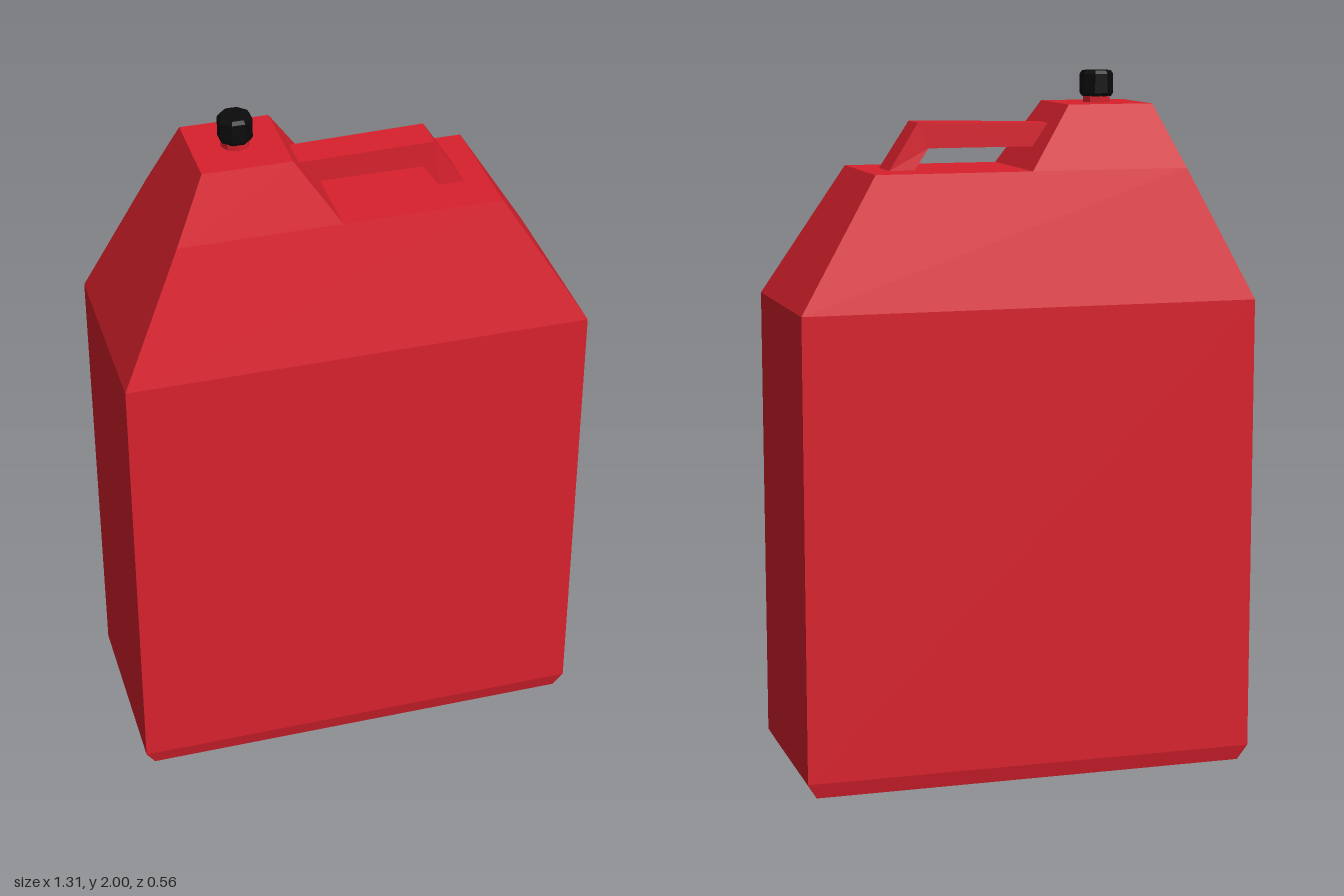
import * as THREE from 'three';

const red = new THREE.MeshStandardMaterial({ color: 0xd8212d });
red.name = 'red plastic';
const black = new THREE.MeshStandardMaterial({ color: 0x0b0b0b });
black.name = 'black plastic';

// Flat-faced skin through four-cornered rings, closed at both ends
function loft(rings) {
  const pos = [];
  const quad = (a, b, c, d) => pos.push(...a, ...b, ...c, ...a, ...c, ...d);
  for (let i = 0; i < rings.length - 1; i++) {
    const lo = rings[i], hi = rings[i + 1];
    for (let j = 0; j < 4; j++) {
      const k = (j + 1) % 4;
      quad(lo[j], lo[k], hi[k], hi[j]);
    }
  }
  const first = rings[0], last = rings[rings.length - 1];
  quad(first[3], first[2], first[1], first[0]);
  quad(last[0], last[1], last[2], last[3]);
  const g = new THREE.BufferGeometry();
  g.setAttribute('position', new THREE.Float32BufferAttribute(pos, 3));
  g.computeVertexNormals();
  return g;
}

// Horizontal rectangle at height y
const level = (y, x0, x1, z) => [[x0, y, z], [x1, y, z], [x1, y, -z], [x0, y, -z]];

// Handle section from an outer and an inner profile point
const section = (ox, oy, ix, iy, z) => [[ox, oy, z], [ix, iy, z], [ix, iy, -z], [ox, oy, -z]];

export function createModel() {
  const group = new THREE.Group();
  group.name = 'fuelCan';
  const add = (name, geometry, material) => {
    const mesh = new THREE.Mesh(geometry, material);
    mesh.name = name;
    group.add(mesh);
    return mesh;
  };

  // Tank with bevelled base and sloping shoulders
  add('tank', loft([
    level(0, -0.63, 0.63, 0.268),
    level(0.045, -0.657, 0.657, 0.28),
    level(1.36, -0.657, 0.657, 0.28),
    level(1.73, -0.481, 0.425, 0.187),
  ]), red);

  // Raised spout block
  add('spoutBlock', loft([
    level(1.73, -0.481, -0.025, 0.187),
    level(1.91, -0.395, -0.147, 0.13),
  ]), red);

  // Carry handle running from the spout block down to the shoulder
  add('handle', loft([
    section(-0.13, 1.855, -0.09, 1.79, 0.05),
    section(0.27, 1.862, 0.24, 1.79, 0.052),
    section(0.355, 1.73, 0.283, 1.73, 0.061),
  ]), red);

  // Neck and bevelled screw cap
  const neck = new THREE.CylinderGeometry(0.04, 0.04, 0.04, 8).toNonIndexed();
  neck.computeVertexNormals();
  add('neck', neck, red).position.set(-0.272, 1.917, 0);

  const profile = [[0, 1.927], [0.042, 1.927], [0.048, 1.936], [0.048, 1.99], [0.041, 2], [0, 2]];
  const cap = new THREE.LatheGeometry(profile.map(([r, y]) => new THREE.Vector2(r, y)), 8, Math.PI / 8).toNonIndexed();
  cap.computeVertexNormals();
  add('cap', cap, black).position.set(-0.272, 0, 0);

  return group;
}
